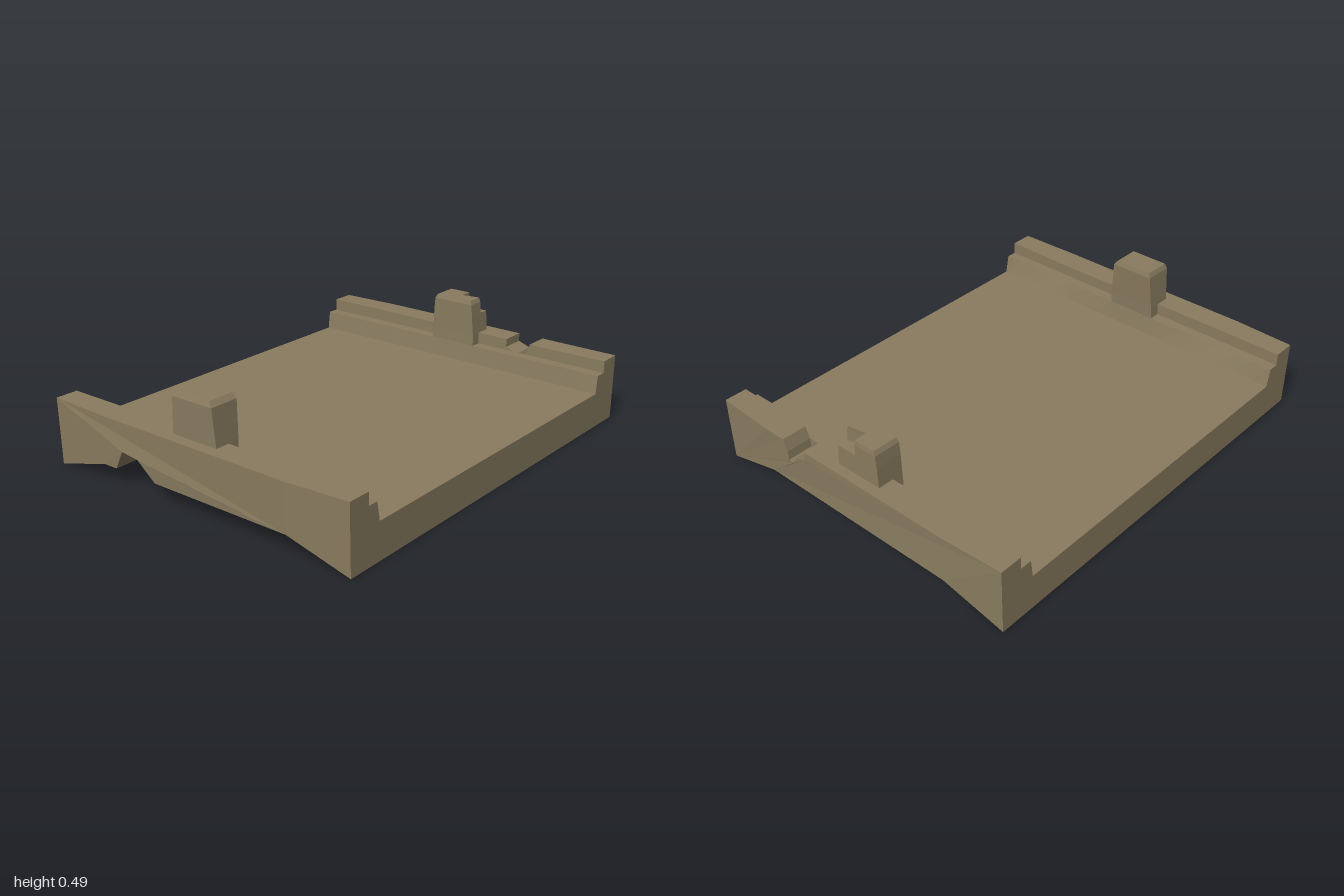
import * as THREE from 'three';

export function createModel() {
  const group = new THREE.Group();
  group.name = 'stoneBridge';
  const stone = new THREE.MeshStandardMaterial({ color: 0x8a7c60 });
  stone.name = 'weathered stone';
  stone.flatShading = true;

  const shapeOf = (pts) => new THREE.Shape(pts.map(([a, b]) => new THREE.Vector2(a, b)));

  // Moves every vertex by a rule and adds the mesh
  function add(name, geo, rule) {
    const p = geo.attributes.position;
    const v = new THREE.Vector3();
    for (let i = 0; i < p.count; i++) {
      v.fromBufferAttribute(p, i);
      if (rule) rule(v);
      p.setXYZ(i, v.x, v.y, v.z);
    }
    geo.computeVertexNormals();
    const mesh = new THREE.Mesh(geo, stone);
    mesh.name = name;
    group.add(mesh);
  }

  // Side profile of [z, y] points extruded from x0 to x1
  function sideSlab(name, profile, x0, x1, rule) {
    const geo = new THREE.ExtrudeGeometry(shapeOf(profile.map(([z, y]) => [-z, y])),
      { depth: x1 - x0, bevelEnabled: false });
    geo.rotateY(Math.PI / 2);
    geo.translate(x0, 0, 0);
    add(name, geo, rule);
  }

  // Upright block: plan outline in 0..1 units, lofted through [y, x0, x1, z0, z1]
  function pillar(name, outline, sections) {
    const steps = sections.length - 1;
    const geo = new THREE.ExtrudeGeometry(shapeOf(outline), { depth: 1, steps, bevelEnabled: false });
    add(name, geo, (v) => {
      const [y, x0, x1, z0, z1] = sections[Math.round(v.z * steps)];
      v.set(x0 + v.x * (x1 - x0), y, z1 - v.y * (z1 - z0));
    });
  }

  // Deck with a shallow arch underneath
  const arch = [[0.795, 0], [0.5, 0.085]];
  const archBack = [[-0.5, 0.085], [-0.795, 0]];
  sideSlab('deck', [...arch, ...archBack, [-0.795, 0.165], [0.795, 0.165]], -0.88, 0.88);

  // Side walls, slightly wider in the middle, each with a broken bite
  const bulge = (v) => {
    if (Math.abs(v.x) > 0.95) {
      const inset = Math.abs(v.z) > 0.7 ? 0.013 : 0;
      v.x = Math.sign(v.x) * (1 - inset - (v.y < 0.1 ? 0.006 : 0));
    }
  };
  const wallTop = [[-0.795, 0.307], [-0.5, 0.307], [0.5, 0.303], [0.795, 0.307]];
  const topBite = [[0.27, 0.304], [0.27, 0.265], [0.33, 0.243], [0.345, 0.21],
    [0.375, 0.21], [0.38, 0.25], [0.4, 0.304]];
  const lowBite = [[-0.2, 0.085], [-0.29, 0.165], [-0.38, 0.175], [-0.43, 0.085]];
  sideSlab('leftWall', [...arch, ...archBack, ...wallTop.slice(0, 2), ...topBite, ...wallTop.slice(2)],
    0.88, 1, bulge);
  sideSlab('rightWall', [...arch, ...lowBite, ...archBack, ...wallTop], -1, -0.88, bulge);

  // Low inner kerbs along the walls, the right one more worn
  for (const s of [1, -1]) {
    const pts = [[s * 0.88, 0.16], [s * 0.88, 0.25], [s * 0.825, 0.25], [s * 0.813, 0.16]];
    const geo = new THREE.ExtrudeGeometry(shapeOf(pts), { depth: 1.59, steps: 16, bevelEnabled: false });
    geo.translate(0, 0, -0.795);
    add(s > 0 ? 'leftKerb' : 'rightKerb', geo, (v) => {
      const worn = Math.max(0, 1 - Math.abs(Math.abs(v.z) - 0.5) / 0.45);
      if (s < 0 && v.y > 0.2 && v.x > -0.85) v.x -= 0.017 * worn;
    });
  }

  // Whole post on the right wall
  const square = [[0, 0], [1, 0], [1, 1], [0, 1]];
  pillar('rightPost', square, [
    [0.24, -0.945, -0.828, -0.13, 0.112],
    [0.305, -0.947, -0.825, -0.127, 0.11],
    [0.47, -0.953, -0.815, -0.115, 0.098],
    [0.493, -0.945, -0.82, -0.105, 0.08]]);

  // Post on the left wall with its outer front corner broken off
  pillar('leftPost', square, [
    [0.24, 0.828, 0.953, -0.128, 0.112],
    [0.305, 0.828, 0.953, -0.125, 0.11],
    [0.4, 0.826, 0.953, -0.12, 0.102]]);
  pillar('leftPostBrokenTop', [[0, 0], [0.62, 0], [0.5, 0.45], [1, 0.45], [1, 1], [0, 1]], [
    [0.4, 0.826, 0.953, -0.12, 0.102],
    [0.455, 0.825, 0.953, -0.115, 0.097],
    [0.475, 0.83, 0.95, -0.105, 0.088]]);

  return group;
}
